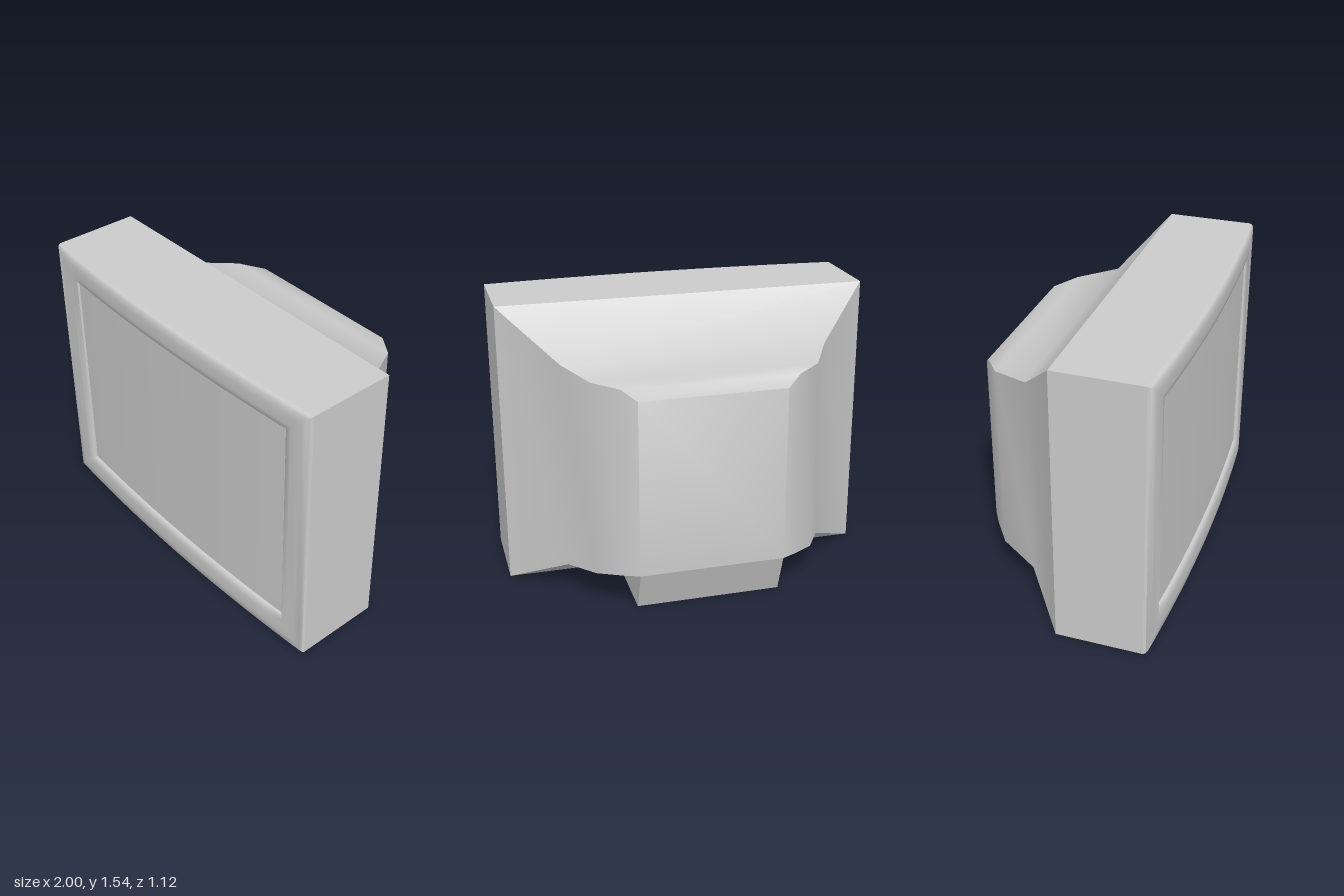
import * as THREE from 'three';
import { toCreasedNormals } from 'three/addons/utils/BufferGeometryUtils.js';

const H = 1.545;          // overall height
const SEG = 16;           // divisions across the curved front
const material = new THREE.MeshStandardMaterial({ color: 0xcccccc });

// Gentle outward bow of the front, as depth by x
const bow = (x) => 0.56 - 0.042 * x * x;

// Rectangular ring, counter-clockwise from the front; z is a function of x
function rectRing(x0, x1, y0, y1, zAt, seg) {
  const bottom = [], top = [];
  for (let i = 0; i <= seg; i++) {
    const x = x0 + ((x1 - x0) * i) / seg;
    bottom.push([x, y0, zAt(x)]);
    top.unshift([x, y1, zAt(x)]);
  }
  return [...bottom, ...top];
}

// Skin joining rings ordered from back to front, with an optional rear cap
function loft(rings, capBack, crease) {
  const n = rings[0].length, index = [];
  for (let r = 0; r < rings.length - 1; r++) {
    for (let i = 0; i < n; i++) {
      const j = (i + 1) % n;
      const a = r * n + i, b = r * n + j, c = b + n, d = a + n;
      index.push(a, b, c, a, c, d);
    }
  }
  if (capBack) for (let i = 1; i < n - 1; i++) index.push(0, i + 1, i);
  const geo = new THREE.BufferGeometry();
  geo.setAttribute('position', new THREE.Float32BufferAttribute(rings.flat(2), 3));
  geo.setIndex(index);
  geo.computeVertexNormals();
  return toCreasedNormals(geo, crease);
}

export function createModel() {
  const group = new THREE.Group();
  const add = (name, geo) => {
    const mesh = new THREE.Mesh(geo, material);
    mesh.name = name;
    group.add(mesh);
  };

  // Tapering rear housing: [z, half width, bottom, top]
  const sections = [
    [-0.56, 0.39, 0.22, 1.18],
    [-0.515, 0.465, 0.212, 1.235],
    [-0.42, 0.595, 0.195, 1.25],
    [-0.21, 0.71, 0.155, 1.285],
    [0.025, 1, 0, H],
  ];
  add('rearHousing', loft(
    sections.map(([z, w, y0, y1]) => rectRing(-w, w, y0, y1, () => z, 1)), true, 0.75));

  // Front case, straight sided with a bowed front edge
  add('frontCase', loft([
    rectRing(-1, 1, 0, H, () => 0.025, SEG),
    rectRing(-1, 1, 0, H, (x) => bow(x) - 0.025, SEG),
  ], false, 0.5));

  // Rounded bezel: [share of the way to the opening, depth below the bow]
  const profile = [
    [0, -0.025], [0.03, -0.012], [0.1, -0.003], [0.35, 0],
    [0.7, 0], [0.88, -0.004], [0.97, -0.014], [1, -0.035],
  ];
  add('bezel', loft(profile.map(([t, dz]) => rectRing(
    -1 + 0.18 * t, 1 - 0.16 * t, 0.17 * t, H - 0.155 * t, (x) => bow(x) + dz, SEG)), false, 0.9));

  // Bowed screen
  const screen = new THREE.PlaneGeometry(1.66, 1.22, SEG, 1);
  screen.translate(0.01, 0.78, 0);
  const p = screen.attributes.position;
  for (let i = 0; i < p.count; i++) p.setZ(i, bow(p.getX(i)) - 0.024);
  screen.computeVertexNormals();
  add('screen', screen);

  // Wedge foot under the rear housing
  const wedge = new THREE.Shape([
    [-0.025, 0], [0.48, 0], [0.56, 0.22], [0.21, 0.25],
  ].map(([x, y]) => new THREE.Vector2(x, y)));
  const foot = new THREE.ExtrudeGeometry(wedge, { depth: 0.78, bevelEnabled: false });
  foot.translate(0, 0, -0.39).rotateY(Math.PI / 2);
  add('foot', foot);

  return group;
}
